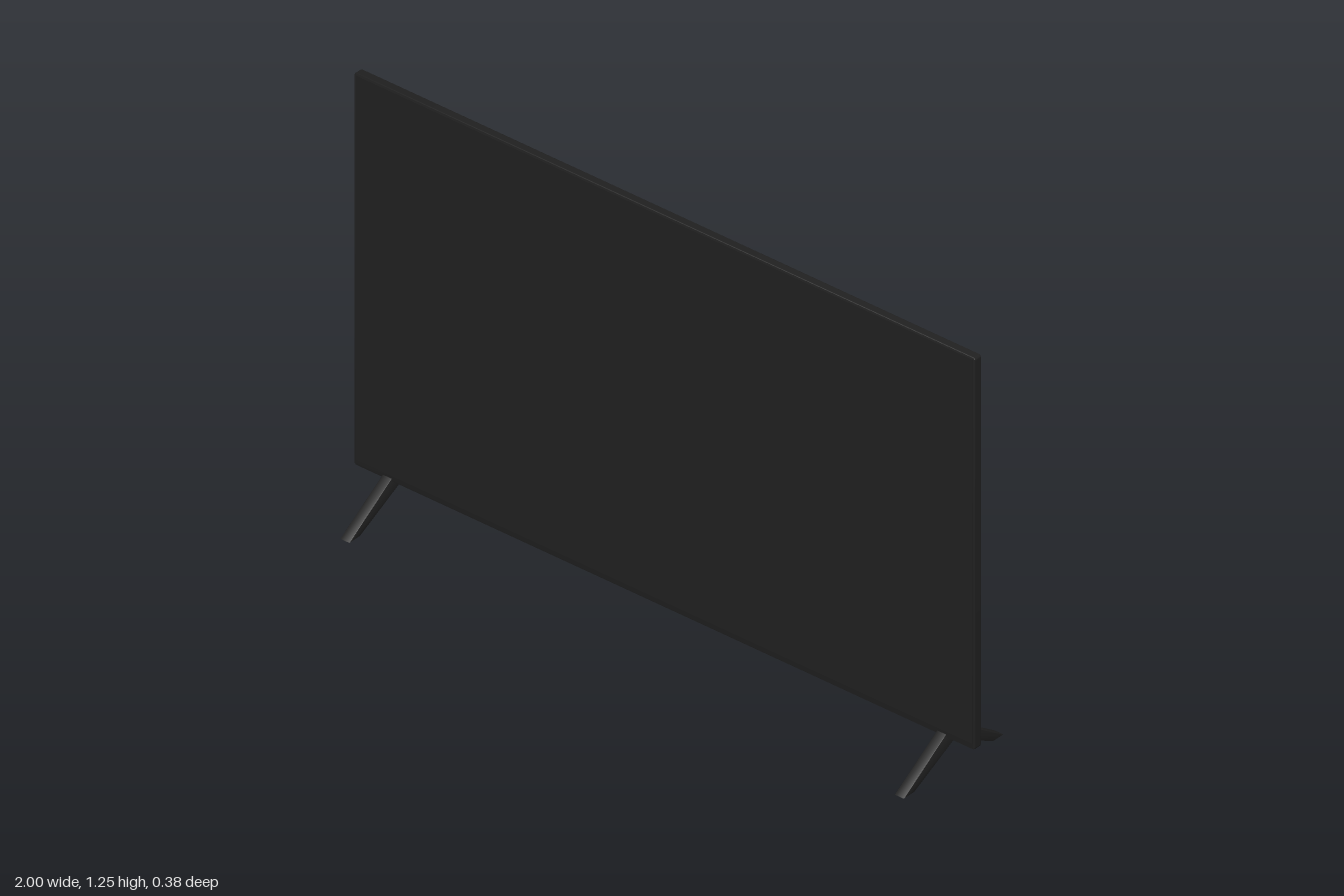
import * as THREE from 'three';
import { toCreasedNormals } from 'three/addons/utils/BufferGeometryUtils.js';

const material = (name, color) => {
  const m = new THREE.MeshStandardMaterial({ color });
  m.name = name;
  return m;
};

// Rounded rectangle outline centred on the origin
function roundedRect(w, h, r) {
  const s = new THREE.Shape();
  const x = w / 2, y = h / 2;
  s.absarc(x - r, y - r, r, 0, Math.PI / 2);
  s.absarc(-x + r, y - r, r, Math.PI / 2, Math.PI);
  s.absarc(-x + r, -y + r, r, Math.PI, Math.PI * 1.5);
  s.absarc(x - r, -y + r, r, Math.PI * 1.5, Math.PI * 2);
  s.closePath();
  return s;
}

// Bevelled slab of exact total depth, centred on z = 0
function slab(shape, depth, bevel, segments = 2) {
  const g = new THREE.ExtrudeGeometry(shape, {
    depth: depth - 2 * bevel, bevelEnabled: true, bevelThickness: bevel,
    bevelSize: bevel, bevelOffset: -bevel, bevelSegments: segments, curveSegments: 8,
  });
  g.translate(0, 0, bevel - depth / 2);
  return toCreasedNormals(g, 0.6);
}

export function createModel() {
  const model = new THREE.Group();
  model.name = 'television';
  const black = material('black plastic', 0x202020);
  const add = (name, geometry, x, y, z) => {
    const mesh = new THREE.Mesh(geometry, black);
    mesh.name = name;
    mesh.position.set(x, y, z);
    model.add(mesh);
    return mesh;
  };

  // Thin display panel, with the screen set just above a narrow lower trim
  add('displayPanel', slab(roundedRect(2, 1.15, 0.008), 0.025, 0.003), 0, 0.675, 0.0165);
  add('screen', new THREE.BoxGeometry(1.985, 1.127, 0.002), 0, 0.681, 0.029);

  // Electronics housing on the back, with rounded corners and a softened rim
  add('backHousing', slab(roundedRect(1.68, 0.76, 0.045), 0.04, 0.009, 3), 0, 0.545, -0.006);

  // Splayed feet, one chevron at each end
  const foot = new THREE.Shape([
    [-0.19, 0], [-0.15, 0], [0, 0.078], [0.15, 0], [0.19, 0], [0.015, 0.118], [-0.015, 0.118],
  ].map(([z, y]) => new THREE.Vector2(z, y)));
  const footGeometry = slab(foot, 0.03, 0.002, 2);
  footGeometry.rotateY(Math.PI / 2);
  for (const [side, name] of [[1, 'leftFoot'], [-1, 'rightFoot']]) {
    add(name, footGeometry, side * 0.893, 0, 0);
  }
  return model;
}
